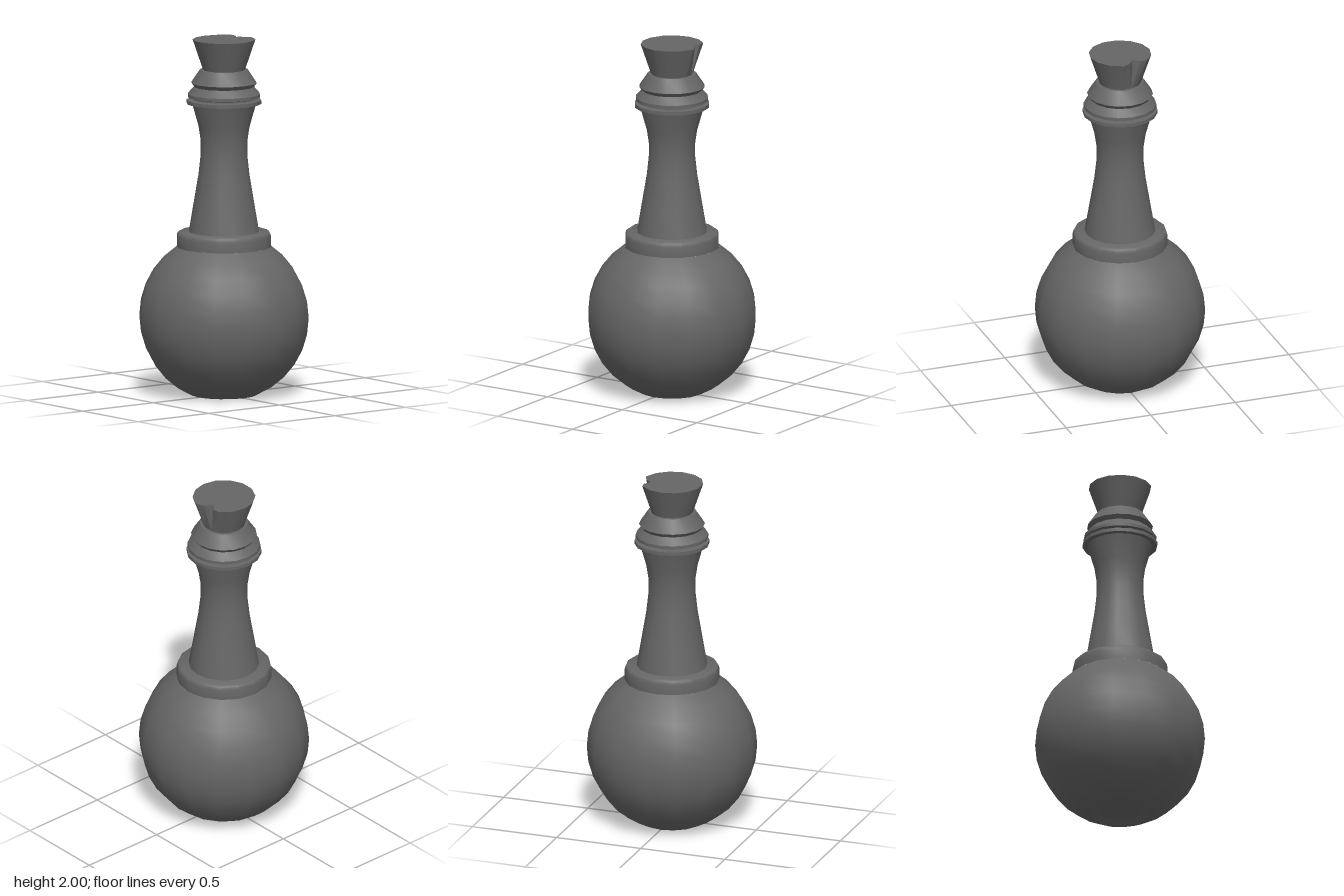
import * as THREE from 'three';
import { toCreasedNormals } from 'three/addons/utils/BufferGeometryUtils.js';

const material = new THREE.MeshStandardMaterial({ color: 0x666666 });

function addMesh(group, name, geometry, crease = 0.6) {
  const mesh = new THREE.Mesh(toCreasedNormals(geometry, crease), material);
  mesh.name = name;
  group.add(mesh);
}

// Turned part with 16 sides; profile runs from bottom to top as [radius, height]
function turned(profile) {
  return new THREE.LatheGeometry(profile.map(([r, y]) => new THREE.Vector2(r, y)), 16);
}

// Round belly, open under the collar and cut off at the bottom with a shallow recess
function bellyProfile() {
  const profile = [[0, 0.025], [0.13, 0.025], [0.165, 0]];
  for (let i = -6; i <= 5; i++) {
    const a = i * Math.PI / 16;
    profile.push([0.475 * Math.cos(a), 0.439 + 0.475 * Math.sin(a)]);
  }
  return profile;
}

// Flared 14-sided stopper; one rim corner at the back is split by a notch that closes at the foot
function stopperGeometry() {
  const bottomY = 1.82, topY = 2, bottomR = 0.114, topR = 0.175;
  const notch = [
    [0, -0.153], [-0.028, -0.122], [-0.031, -0.111], [-0.02, -0.072],
    [-0.036, -0.109], [-0.05, -0.122], [-0.07, -0.138],
  ];
  const rim = [], foot = [];
  for (let i = 0; i < 14; i++) {
    const a = (i + 0.5) * Math.PI / 7;
    const x = Math.sin(a), z = Math.cos(a);
    const corner = i === 7 ? notch : [[topR * x, topR * z]];
    for (const point of corner) {
      rim.push(point);
      foot.push([bottomR * x, bottomR * z]);
    }
  }

  const n = rim.length;
  const position = [];
  const index = [];
  for (const [x, z] of foot) position.push(x, bottomY, z);
  for (const [x, z] of rim) position.push(x, topY, z);
  position.push(0, bottomY, 0, 0, topY, 0);
  for (let i = 0; i < n; i++) {
    const j = (i + 1) % n;
    index.push(i, n + j, n + i, 2 * n + 1, n + i, n + j); // side and top
    // Sides and bottom where the foot has an edge
    if (foot[i][0] !== foot[j][0] || foot[i][1] !== foot[j][1]) {
      index.push(i, j, n + j, 2 * n, j, i);
    }
  }
  const geometry = new THREE.BufferGeometry();
  geometry.setAttribute('position', new THREE.Float32BufferAttribute(position, 3));
  geometry.setIndex(index);
  return geometry;
}

export function createModel() {
  const model = new THREE.Group();
  model.name = 'bottle';

  addMesh(model, 'belly', turned(bellyProfile()));

  // Band rising from the top edge of the belly
  addMesh(model, 'collar', turned([
    [0.264, 0.834], [0.265, 0.893], [0.26, 0.911], [0.248, 0.92], [0, 0.92],
  ]), 0.7);

  addMesh(model, 'neck', turned([
    [0.197, 0.92], [0.17, 1.08], [0.143, 1.24], [0.132, 1.34],
    [0.131, 1.43], [0.143, 1.51], [0.18, 1.64],
  ]));

  // Thin flange and two stepped rings
  addMesh(model, 'lip', turned([
    [0.17, 1.64], [0.209, 1.64], [0.209, 1.66], [0.17, 1.663],
    [0.17, 1.67], [0.203, 1.677], [0.203, 1.695], [0.167, 1.735],
    [0.184, 1.757], [0.135, 1.83], [0, 1.83],
  ]), 0.5);

  addMesh(model, 'stopper', stopperGeometry());
  return model;
}
